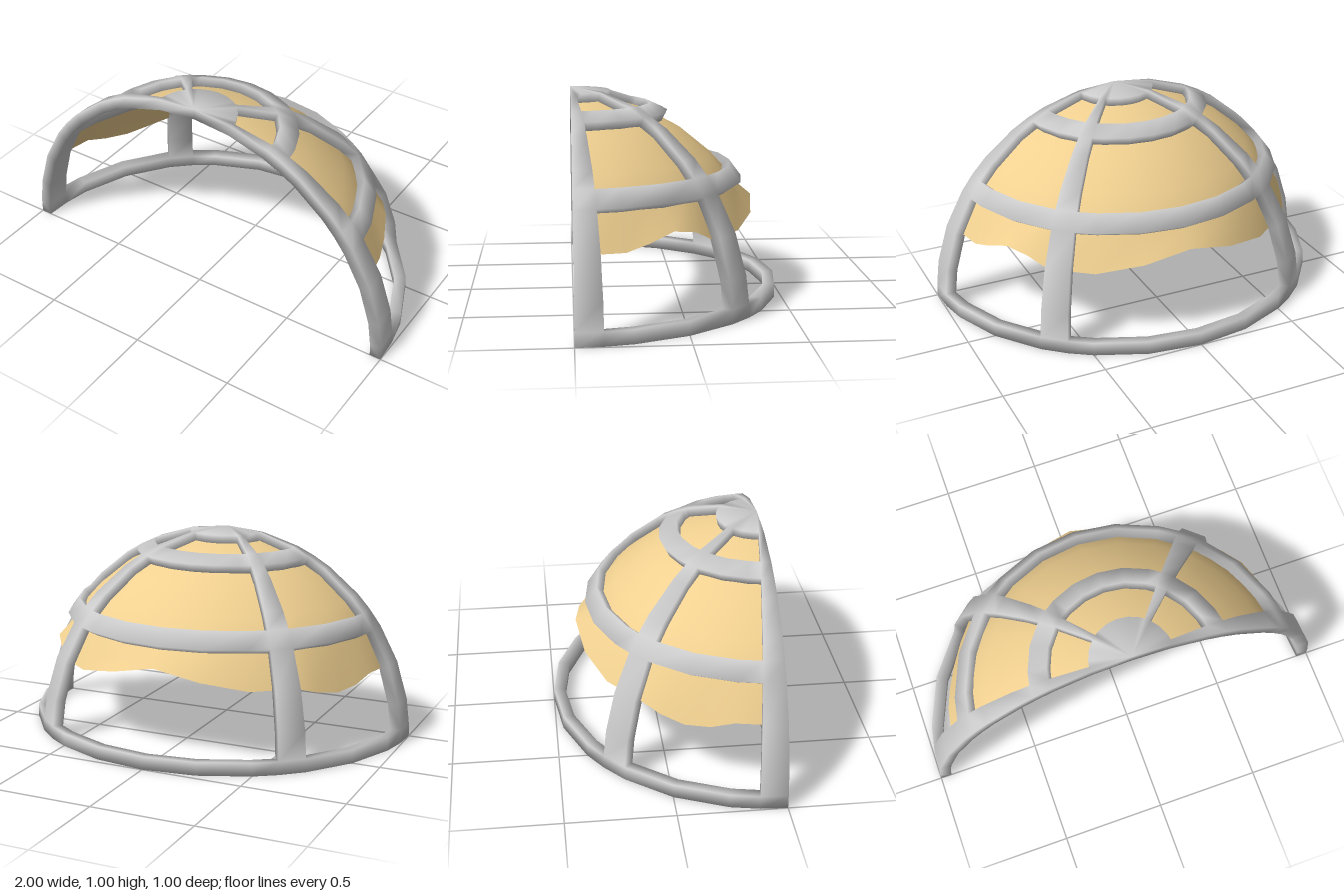
import * as THREE from 'three';
import { mergeVertices } from 'three/addons/utils/BufferGeometryUtils.js';

const OUTER = 1, INNER = 0.945, CLOTH = 0.957;
const rad = THREE.MathUtils.degToRad;

// Point on the half dome: longitude runs from +x round the back to -x, latitude from ground to pole
function domePoint(r, lon, lat) {
  const c = r * Math.cos(rad(lat));
  return [c * Math.cos(rad(lon)), r * Math.sin(rad(lat)), 0.5 - c * Math.sin(rad(lon))];
}

function smoothGeometry(positions) {
  let g = new THREE.BufferGeometry();
  g.setAttribute('position', new THREE.Float32BufferAttribute(positions, 3));
  g = mergeVertices(g);
  g.computeVertexNormals();
  return g;
}

const addQuad = (out, a, b, c, d) => out.push(...a, ...b, ...c, ...a, ...c, ...d);

// Thick shell lattice: only the cells under a rib, a ring or the crown are solid
function frameGeometry() {
  const lons = [0, 7.2, 15, 30, 45, 52.8, 60, 75, 90, 105, 120, 127.2, 135, 150, 165, 172.8, 180];
  const lats = [0, 3.7, 11.25, 22.5, 33.75, 39.4, 45, 56.25, 62, 67.5, 78.75, 90];
  const ribs = [0, 45, 127.2, 172.8];
  const rings = [0, 33.75, 62, 78.75];
  const solid = (i, j) => i >= 0 && j >= 0 && i < lons.length - 1 && j < lats.length - 1 &&
    (ribs.includes(lons[i]) || rings.includes(lats[j]));

  const out = [];
  for (let i = 0; i < lons.length - 1; i++) {
    for (let j = 0; j < lats.length - 1; j++) {
      if (!solid(i, j)) continue;
      const corners = [[i, j], [i + 1, j], [i + 1, j + 1], [i, j + 1]];
      const o = corners.map(([a, b]) => domePoint(OUTER, lons[a], lats[b]));
      const n = corners.map(([a, b]) => domePoint(INNER, lons[a], lats[b]));
      addQuad(out, ...o);
      addQuad(out, n[3], n[2], n[1], n[0]);
      // Side walls towards open cells
      const neighbours = [[i, j - 1], [i + 1, j], [i, j + 1], [i - 1, j]];
      neighbours.forEach(([a, b], k) => {
        const m = (k + 1) % 4;
        const atPole = k === 2 && j === lats.length - 2;
        if (!solid(a, b) && !atPole) addQuad(out, o[m], o[k], n[k], n[m]);
      });
    }
  }
  return smoothGeometry(out);
}

// Cloth lining with a flared, uneven hem
function clothGeometry() {
  // Longitude and height of the hem
  const hem = [[0, 0.37], [7.2, 0.37], [15, 0.37], [22, 0.40], [30, 0.44], [38, 0.42], [45, 0.37],
    [60, 0.37], [75, 0.41], [90, 0.46], [105, 0.41], [120, 0.37], [135, 0.37], [142, 0.34],
    [150, 0.32], [158, 0.335], [165, 0.37], [172.8, 0.37], [180, 0.37]];
  const lats = [33.75, 39.4, 45, 56.25, 67.5, 78.75, 90];
  const hemRadius = 0.88;
  const columns = hem.map(([lon, y]) => [
    [hemRadius * Math.cos(rad(lon)), y, 0.5 - hemRadius * Math.sin(rad(lon))],
    ...lats.map(lat => domePoint(CLOTH, lon, lat)),
  ]);
  const out = [];
  for (let i = 0; i < columns.length - 1; i++) {
    for (let j = 0; j < lats.length; j++) {
      addQuad(out, columns[i][j], columns[i + 1][j], columns[i + 1][j + 1], columns[i][j + 1]);
    }
  }
  return smoothGeometry(out);
}

export function createModel() {
  const group = new THREE.Group();
  group.name = 'domeShelter';

  const frame = new THREE.Mesh(frameGeometry(),
    new THREE.MeshStandardMaterial({ color: 0xcccccc }));
  frame.name = 'frame';

  const cloth = new THREE.Mesh(clothGeometry(),
    new THREE.MeshStandardMaterial({ color: 0xf0d090, side: THREE.DoubleSide }));
  cloth.name = 'clothCover';

  group.add(frame, cloth);
  return group;
}
